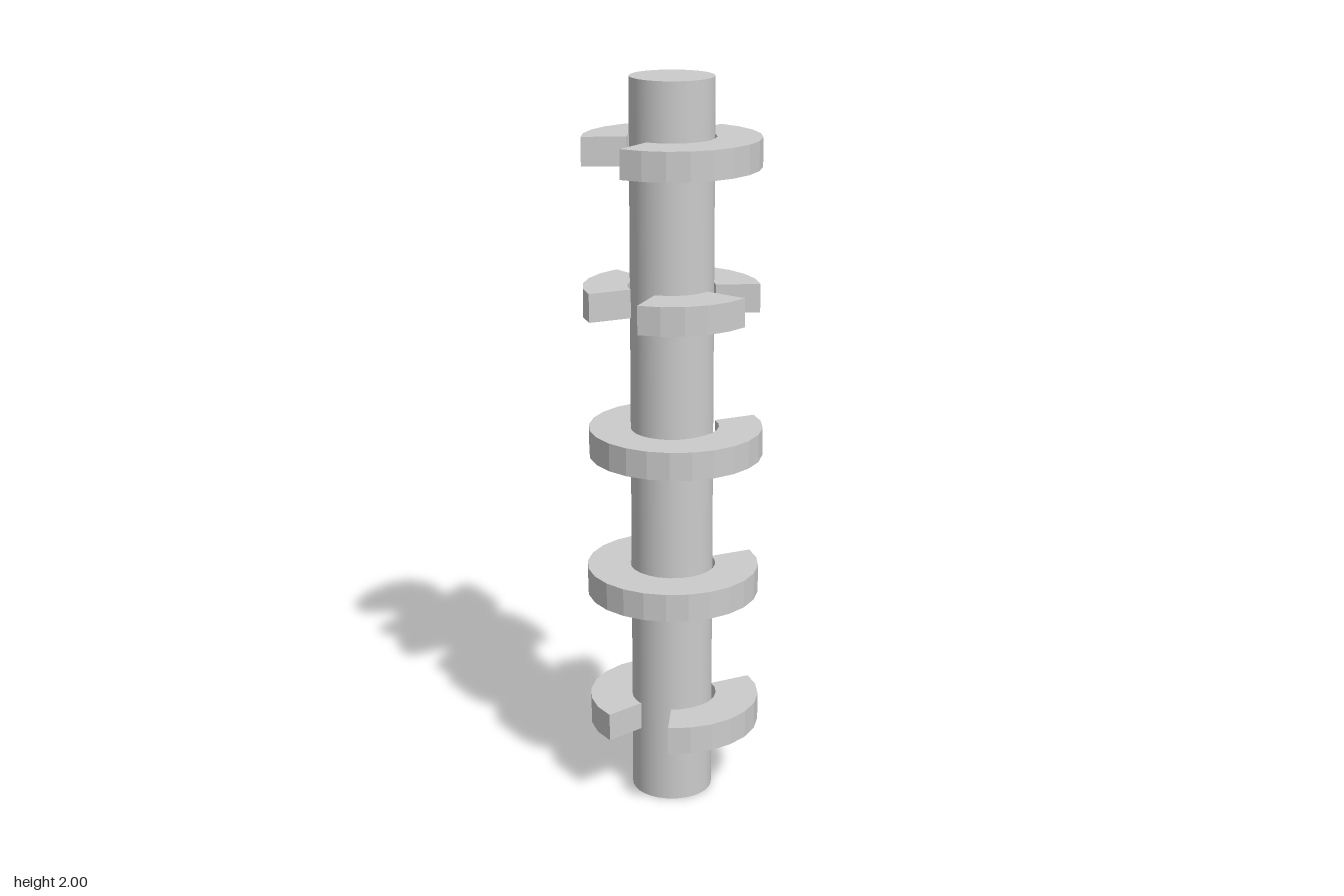
import * as THREE from 'three';

const INNER = 0.117, OUTER = 0.235, THICK = 0.077;

// Flat ring sector; angles in degrees from +x towards +z
function sector(from, to) {
  const n = Math.max(4, Math.round((to - from) / 15));
  const pts = [];
  const add = (r, i) => {
    const a = THREE.MathUtils.degToRad(from + (to - from) * i / n);
    pts.push(new THREE.Vector2(r * Math.cos(a), r * Math.sin(a)));
  };
  for (let i = 0; i <= n; i++) add(OUTER, i);
  for (let i = n; i >= 0; i--) add(INNER, i);
  const geo = new THREE.ExtrudeGeometry(new THREE.Shape(pts), { depth: THICK, bevelEnabled: false });
  geo.rotateX(Math.PI / 2); // lay flat, thickness runs down from y = 0
  geo.translate(0, THICK / 2, 0);
  return geo;
}

export function createModel() {
  const model = new THREE.Group();
  const smooth = new THREE.MeshStandardMaterial({ color: 0xcccccc });
  const flat = new THREE.MeshStandardMaterial({ color: 0xcccccc, flatShading: true });

  // Central shaft
  const shaft = new THREE.Mesh(new THREE.CylinderGeometry(0.111, 0.111, 2, 32), smooth);
  shaft.name = 'shaft';
  shaft.position.y = 1;
  model.add(shaft);

  // Slotted rings, bottom to top: z offset and the arcs that remain
  const rings = [
    { z: -0.0115, arcs: [[-60, 60.5], [105.5, 240]] },
    { z: -0.004, arcs: [[-58, 254]] },
    { z: -0.018, arcs: [[-58, 238]] },
    { z: 0.002, arcs: [[3, 78], [122, 197], [248, 323]] },
    { z: 0, arcs: [[-90, 90], [143, 217]] },
  ];
  rings.forEach(({ z, arcs }, i) => {
    const ring = new THREE.Group();
    ring.name = `slottedRing${i + 1}`;
    ring.position.set(0, 0.237 + i * 0.3925, z);
    arcs.forEach(([from, to], j) => {
      const mesh = new THREE.Mesh(sector(from, to), flat);
      mesh.name = `ringSegment${j + 1}`;
      ring.add(mesh);
    });
    model.add(ring);
  });
  return model;
}
